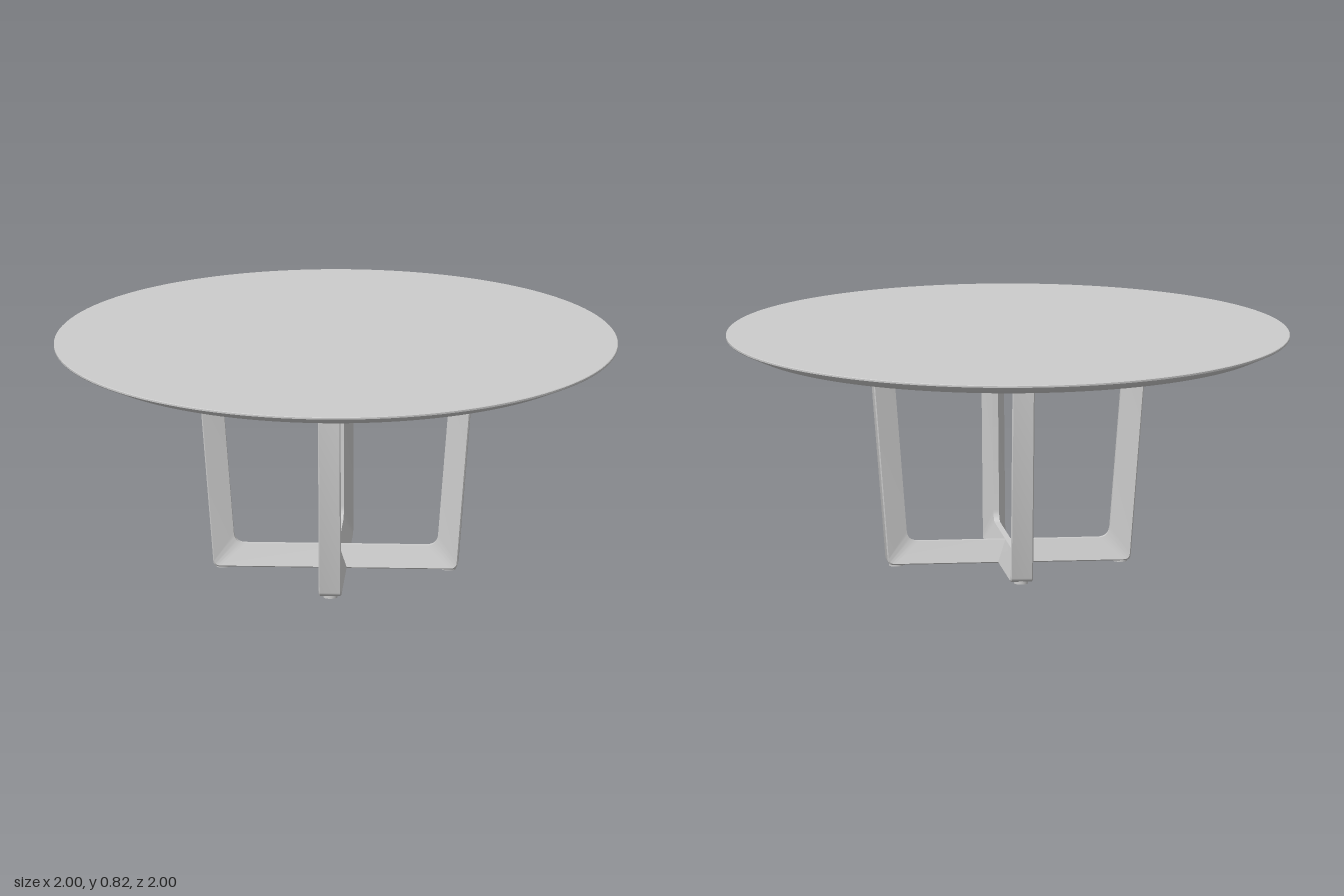
import * as THREE from 'three';
import { toCreasedNormals } from 'three/addons/utils/BufferGeometryUtils.js';

const material = new THREE.MeshStandardMaterial({ color: 0xcccccc });
const CREASE = 0.4;

function mesh(name, geometry, y = 0) {
  const m = new THREE.Mesh(geometry, material);
  m.name = name;
  m.position.y = y;
  return m;
}

// Trapezoid outline with rounded corners, counter-clockwise, as Vector2 points
function trapezoidLoop(bottomHalf, topHalf, y0, y1, radius) {
  const corners = [[-bottomHalf, y0], [bottomHalf, y0], [topHalf, y1], [-topHalf, y1]]
    .map(([x, y]) => new THREE.Vector2(x, y));
  const points = [];
  corners.forEach((corner, i) => {
    const toward = (other) => other.clone().sub(corner).setLength(radius).add(corner);
    const a = toward(corners[(i + 3) % 4]);
    const b = toward(corners[(i + 1) % 4]);
    points.push(...new THREE.QuadraticBezierCurve(a, corner, b).getPoints(8));
  });
  return points;
}

// Closed frame: bar section is wide outside and narrow towards the opening
function frameGeometry() {
  const slope = 0.079;
  const section = [
    [0, 0.036], [0.004, 0.04], [0.079, 0.01],
    [0.079, -0.01], [0.004, -0.04], [0, -0.036],
  ]; // [inset, depth]
  const rings = section.map(([inset, z]) => {
    const y0 = 0.008 + inset;
    const y1 = 0.764 - inset;
    const half = (y) => 0.432 + slope * (y - 0.008) - inset;
    const radius = 0.02 + inset * 0.25;
    return trapezoidLoop(half(y0), half(y1), y0, y1, radius).map((p) => [p.x, p.y, z]);
  });
  const n = rings[0].length;
  const index = [];
  for (let r = 0; r < rings.length; r++) {
    const s = (r + 1) % rings.length;
    for (let i = 0; i < n; i++) {
      const j = (i + 1) % n;
      const a = r * n + i, b = r * n + j, c = s * n + j, d = s * n + i;
      index.push(a, b, c, a, c, d);
    }
  }
  const g = new THREE.BufferGeometry();
  g.setAttribute('position', new THREE.Float32BufferAttribute(rings.flat(2), 3));
  // Ring order runs front to back on the outside, so the winding is reversed
  for (let k = 0; k < index.length; k += 3) {
    [index[k + 1], index[k + 2]] = [index[k + 2], index[k + 1]];
  }
  if (signedVolume(g, index) < 0) index.reverse();
  g.setIndex(index);
  return toCreasedNormals(g, CREASE);
}

// Positive when the faces point outwards
function signedVolume(g, index) {
  const p = g.attributes.position;
  const [a, b, c] = [0, 1, 2].map(() => new THREE.Vector3());
  let sum = 0;
  for (let k = 0; k < index.length; k += 3) {
    a.fromBufferAttribute(p, index[k]);
    b.fromBufferAttribute(p, index[k + 1]);
    c.fromBufferAttribute(p, index[k + 2]);
    sum += a.dot(b.cross(c));
  }
  return sum;
}

export function createModel() {
  const table = new THREE.Group();
  table.name = 'roundTable';

  // Round top with a thin rim and a wide bevel underneath
  const profile = [[0, 0.783], [0.932, 0.783], [0.997, 0.812], [1, 0.815], [1, 0.821], [0.998, 0.823], [0, 0.823]]
    .map(([x, y]) => new THREE.Vector2(x, y));
  table.add(mesh('tableTop', toCreasedNormals(new THREE.LatheGeometry(profile, 128), CREASE)));

  // Two identical frames crossing at right angles
  const frame = frameGeometry();
  const pad = new THREE.CylinderGeometry(0.025, 0.025, 0.01, 24);
  const spacer = new THREE.CylinderGeometry(0.01, 0.01, 0.026, 16);
  for (let i = 0; i < 2; i++) {
    const leg = new THREE.Group();
    leg.name = i ? 'crossFrame' : 'mainFrame';
    leg.add(mesh('frameBars', frame));
    for (const side of [-1, 1]) {
      const foot = mesh('footPad', pad, 0.005);
      foot.position.x = side * 0.4;
      const pin = mesh('topSpacer', spacer, 0.773);
      pin.position.x = side * 0.42;
      leg.add(foot, pin);
    }
    leg.rotation.y = -Math.PI / 8 - (i * Math.PI) / 2;
    table.add(leg);
  }
  return table;
}
